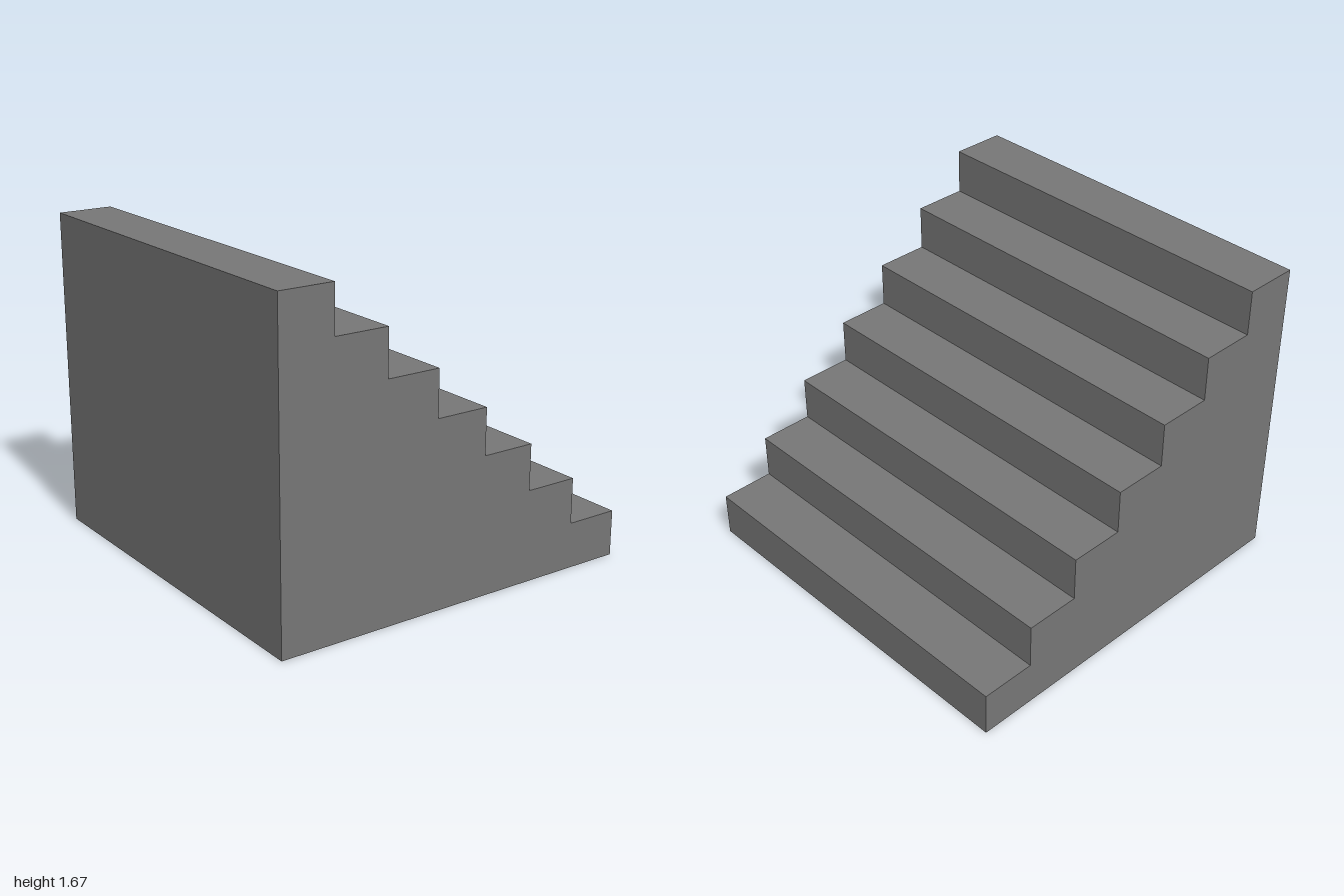
import * as THREE from 'three';

export function createModel() {
  const group = new THREE.Group();
  group.name = 'staircase';
  const grey = new THREE.MeshStandardMaterial({ color: 0x767676 });
  grey.name = 'grey';

  const steps = 7, width = 2, depth = 2, height = 5 / 3;
  const run = width / steps, rise = height / steps;

  // Stepped side profile, climbing from +x to -x
  const profile = new THREE.Shape();
  profile.moveTo(-width / 2, 0);
  profile.lineTo(width / 2, 0);
  for (let i = 0; i < steps; i++) {
    const y = (i + 1) * rise;
    profile.lineTo(width / 2 - i * run, y); // riser
    profile.lineTo(width / 2 - (i + 1) * run, y); // tread
  }
  profile.closePath();

  // Solid flight, one closed block
  const geometry = new THREE.ExtrudeGeometry(profile, { depth, bevelEnabled: false });
  geometry.translate(0, 0, -depth / 2);
  const flight = new THREE.Mesh(geometry, grey);
  flight.name = 'stairFlight';
  group.add(flight);

  return group;
}
